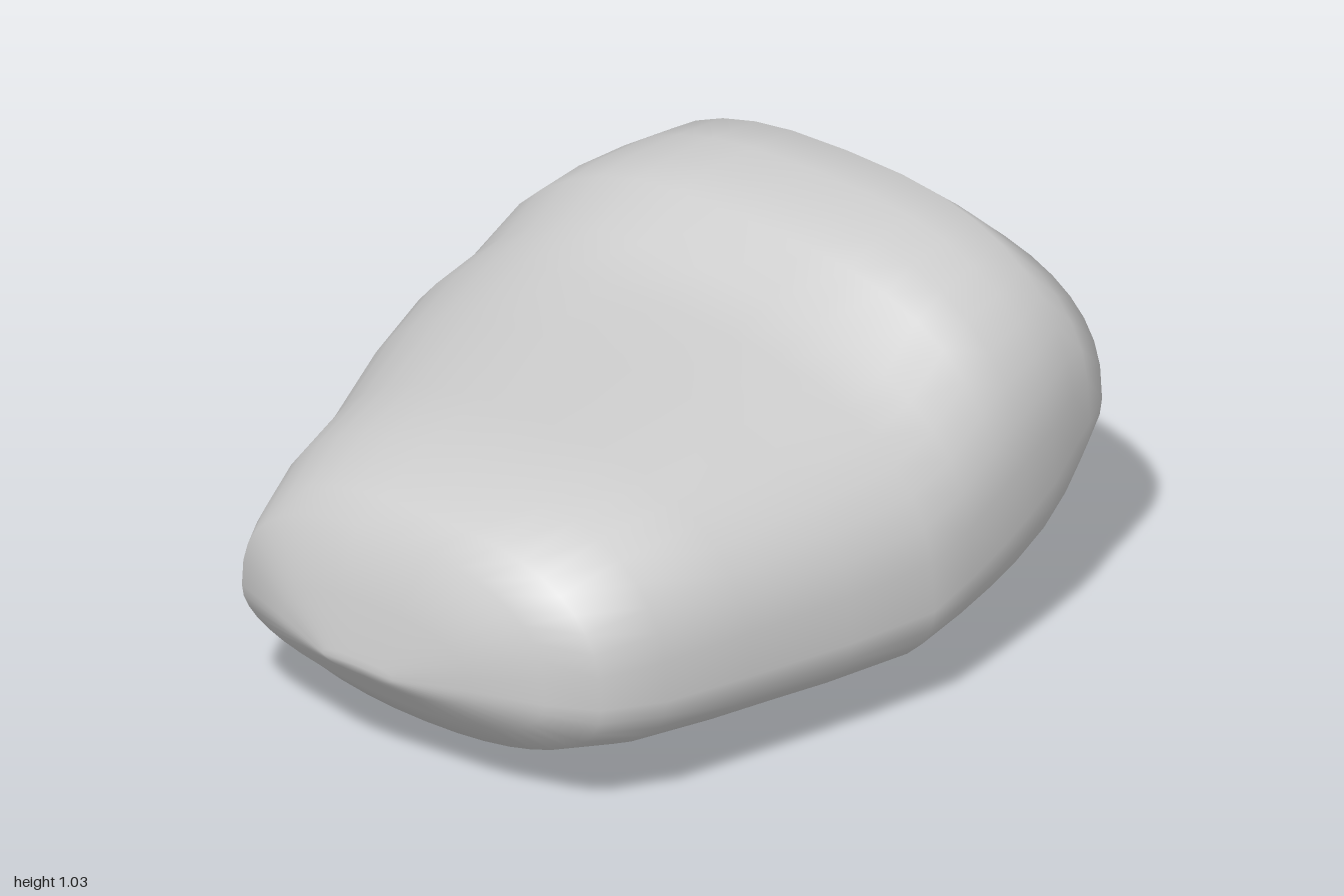
import * as THREE from 'three';

// Stations along x: [x, bottom, top, widest height, back z, front z]
const stations = [
  [-1.0, 0.28, 0.32, 0.30, -0.16, 0.06],
  [-0.97, 0.25, 0.46, 0.33, -0.31, 0.27],
  [-0.92, 0.19, 0.63, 0.34, -0.48, 0.47],
  [-0.84, 0.11, 0.68, 0.33, -0.52, 0.58],
  [-0.69, 0.08, 0.76, 0.32, -0.57, 0.66],
  [-0.45, 0.05, 0.785, 0.31, -0.64, 0.72],
  [-0.15, 0.02, 0.81, 0.30, -0.77, 0.79],
  [0.1, 0.0, 0.835, 0.30, -0.85, 0.84],
  [0.25, 0.0, 0.87, 0.33, -0.835, 0.835],
  [0.38, 0.0, 0.97, 0.36, -0.82, 0.825],
  [0.48, 0.005, 1.01, 0.39, -0.78, 0.815],
  [0.6, 0.035, 1.025, 0.43, -0.73, 0.80],
  [0.72, 0.06, 1.03, 0.47, -0.67, 0.765],
  [0.79, 0.15, 0.97, 0.50, -0.64, 0.75],
  [0.86, 0.27, 0.90, 0.53, -0.60, 0.73],
  [0.92, 0.37, 0.82, 0.55, -0.49, 0.58],
  [0.98, 0.48, 0.72, 0.55, -0.26, 0.36],
  [1.0, 0.51, 0.54, 0.525, -0.15, 0.27],
];
const SIDES = 40;
const power = (v, n) => Math.sign(v) * Math.abs(v) ** (2 / n);

export function createModel() {
  const positions = [];
  const indices = [];

  // Rounded cross-sections, boxier above the widest line than below it
  for (const [x, bottom, top, mid, back, front] of stations) {
    for (let j = 0; j < SIDES; j++) {
      const t = (j / SIDES) * Math.PI * 2;
      const c = Math.cos(t);
      const s = Math.sin(t);
      const n = s > 0 ? 2.6 : 2.15;
      const z = (front + back) / 2 + ((front - back) / 2) * power(c, n);
      let y = mid + power(s, n) * (s > 0 ? top - mid : mid - bottom);
      // Slight swell at the rear of the saddle
      if (s > 0) y += 0.03 * s * Math.exp(-(((x - 0.28) / 0.12) ** 2) - ((z + 0.35) / 0.25) ** 2);
      positions.push(x, y, z);
    }
  }

  // Skin between neighbouring sections
  const last = stations.length - 1;
  for (let i = 0; i < last; i++) {
    for (let j = 0; j < SIDES; j++) {
      const a = i * SIDES + j;
      const b = i * SIDES + ((j + 1) % SIDES);
      indices.push(a, a + SIDES, b, b, a + SIDES, b + SIDES);
    }
  }

  // Close both ends
  for (const i of [0, last]) {
    const [x, , , mid, back, front] = stations[i];
    const centre = positions.length / 3;
    positions.push(x, mid, (back + front) / 2);
    for (let j = 0; j < SIDES; j++) {
      const a = i * SIDES + j;
      const b = i * SIDES + ((j + 1) % SIDES);
      if (i === 0) indices.push(centre, a, b);
      else indices.push(centre, b, a);
    }
  }

  const geometry = new THREE.BufferGeometry();
  geometry.setAttribute('position', new THREE.Float32BufferAttribute(positions, 3));
  geometry.setIndex(indices);
  geometry.computeVertexNormals();

  const boulder = new THREE.Mesh(geometry, new THREE.MeshStandardMaterial({ color: 0xcccccc }));
  boulder.name = 'boulder';
  const group = new THREE.Group();
  group.name = 'rock';
  group.add(boulder);
  return group;
}
